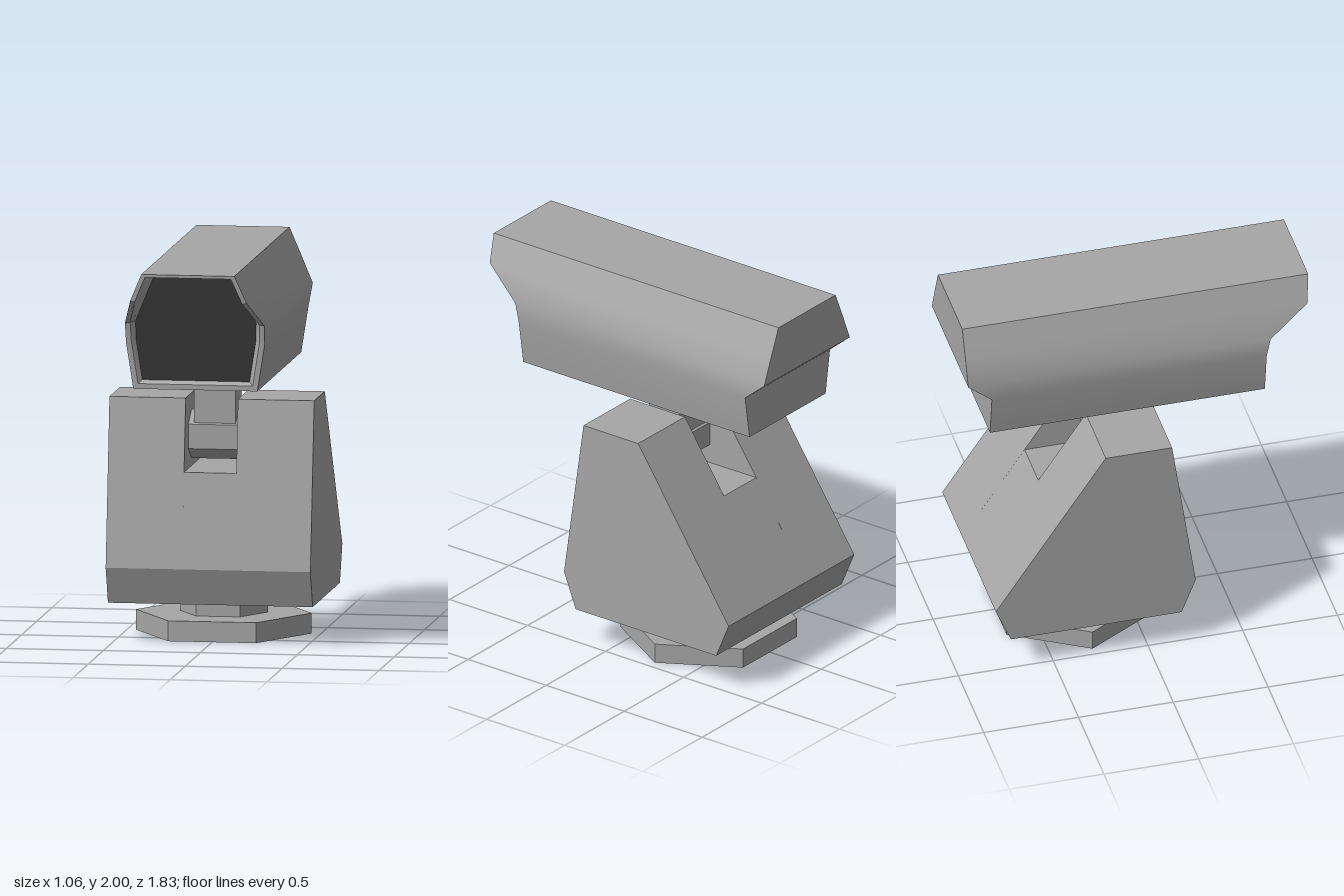
import * as THREE from 'three';
import { toCreasedNormals } from 'three/addons/utils/BufferGeometryUtils.js';

export function createModel() {
  const model = new THREE.Group();
  model.name = 'swivelCamera';

  const grey = new THREE.MeshStandardMaterial({ color: 0xa6a6a6 });
  grey.name = 'casing grey';
  const dark = new THREE.MeshStandardMaterial({ color: 0x333333 });
  dark.name = 'lens dark';

  const add = (name, geometry, material, x = 0, y = 0, z = 0) => {
    const mesh = new THREE.Mesh(geometry, material);
    mesh.name = name;
    mesh.position.set(x, y, z);
    model.add(mesh);
  };

  // Six-sided prism with two corners on the x axis
  const hexPrism = (radius, height) => toCreasedNormals(
    new THREE.CylinderGeometry(radius, radius, height, 6, 1, false, Math.PI / 2), 0.3);

  // Foot and neck
  add('foot', hexPrism(0.453, 0.105), grey, 0, 0.0525, -0.28);
  add('neck', hexPrism(0.227, 0.1), grey, 0, 0.153, -0.28);

  // Wedge body: two cheeks and a lower middle, leaving a notch for the hinge
  const slab = (name, profile, x0, x1) => {
    const shape = new THREE.Shape(profile.map(([z, y]) => new THREE.Vector2(-z, y)));
    const geometry = new THREE.ExtrudeGeometry(shape, { depth: x1 - x0, bevelEnabled: false });
    geometry.rotateY(Math.PI / 2);
    add(name, geometry, grey, x0);
  };
  const lower = [[0.245, 0.39], [0.17, 0.2], [-0.73, 0.2], [-0.81, 0.39]];
  const cheek = [[0.12, 1.255], ...lower, [-0.23, 1.255]];
  const middle = [[0.174, 0.88], ...lower, [-0.481, 0.88]];
  slab('rightCheek', cheek, -0.528, -0.135);
  slab('bodyMiddle', middle, -0.135, 0.135);
  slab('leftCheek', cheek, 0.135, 0.528);

  // Hinge and post
  add('hinge', hexPrism(0.126, 0.27).rotateZ(Math.PI / 2), grey, 0, 1.045, -0.0775);
  add('post', new THREE.BoxGeometry(0.215, 0.32, 0.195), grey, 0, 1.22, -0.0775);

  // Head cross-section, bottom to top: half width, height, front z, back z
  const rows = [
    [0.32, 1.375, 0.665, -0.785],
    [0.357, 1.61, 0.665, -0.785],
    [0.36, 1.715, 0.685, -0.91],
    [0.30, 1.86, 0.895, -0.91],
    [0.24, 2.0, 0.915, -0.91],
  ];
  // Loop running up the left side and down the right
  const loop = (place) => {
    const left = rows.map(place);
    const right = left.map(([x, y, z]) => [-x, y, z]).reverse();
    return [...left, ...right];
  };
  const front = loop(([x, y, f]) => [x, y, f]);
  const back = loop(([x, y, , b]) => [x, y, b]);
  const rim = loop(([x, y, f]) => [x * 0.925, 1.402 + (y - 1.375) * 0.932, f]);
  const glass = loop(([x, y]) => [x * 0.865, 1.42 + (y - 1.375) * 0.888, 0.645]);

  const quad = (out, a, b, c, d) => out.push(...a, ...b, ...c, ...a, ...c, ...d);
  const band = (out, a, b) => a.forEach((p, i) => {
    const j = (i + 1) % a.length;
    quad(out, p, a[j], b[j], b[i]);
  });
  // Close a loop with one strip per pair of rows
  const cap = (out, ring, facesFront) => {
    const last = ring.length - 1;
    for (let i = 0; i < rows.length - 1; i++) {
      const l0 = ring[i], l1 = ring[i + 1], r0 = ring[last - i], r1 = ring[last - i - 1];
      if (facesFront) quad(out, r0, l0, l1, r1);
      else quad(out, l0, r0, r1, l1);
    }
  };
  const build = (points) => {
    const geometry = new THREE.BufferGeometry();
    geometry.setAttribute('position', new THREE.Float32BufferAttribute(points, 3));
    return toCreasedNormals(geometry, 0.45);
  };

  // Hooded housing with recessed opening
  const housing = [];
  band(housing, back, front);
  band(housing, front, rim);
  band(housing, rim, glass);
  cap(housing, back, false);
  add('housing', build(housing), grey);

  // Dark window at the bottom of the opening
  const pane = [];
  cap(pane, glass, true);
  add('lensWindow', build(pane), dark);

  return model;
}
